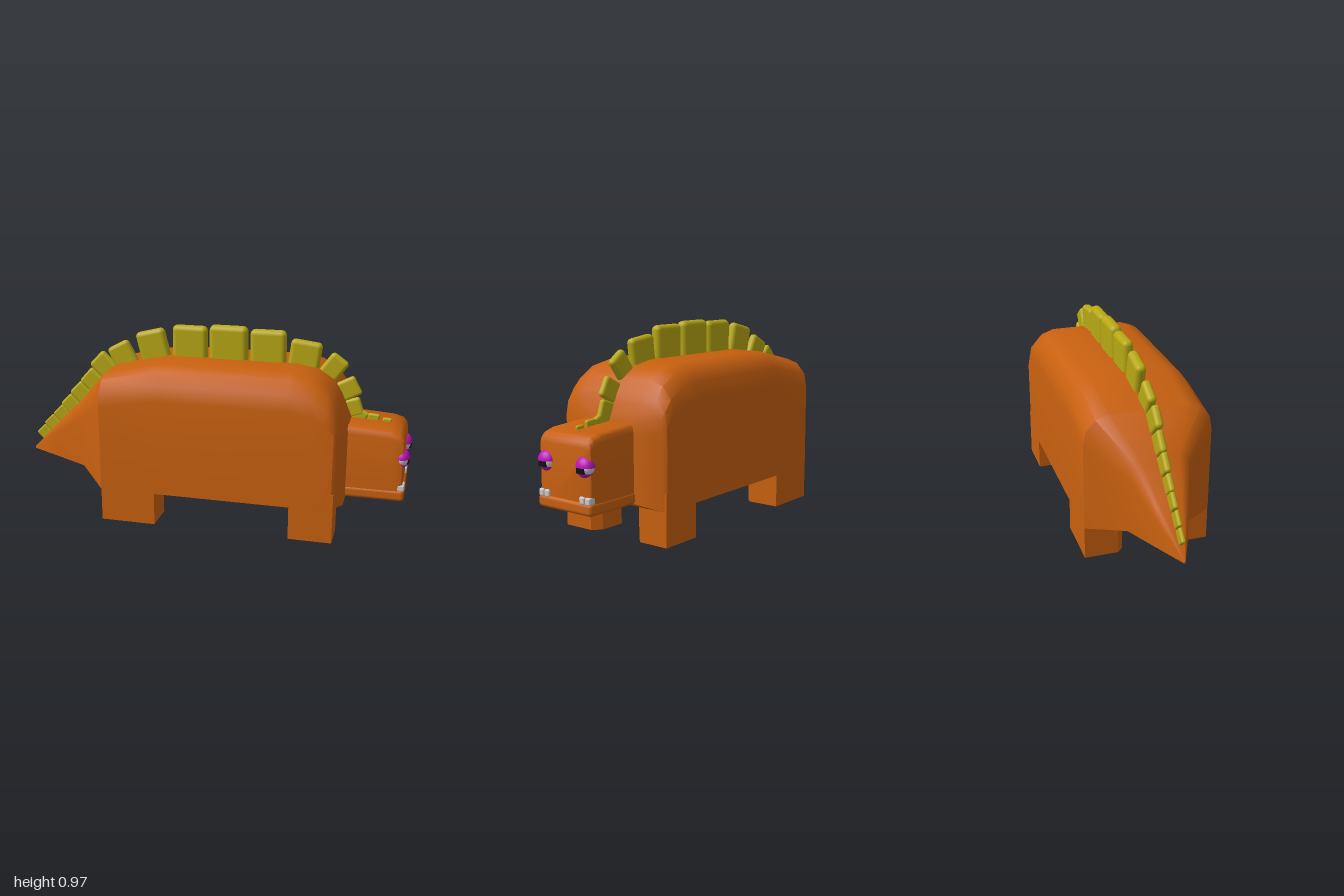
import * as THREE from 'three';
import { toCreasedNormals } from 'three/addons/utils/BufferGeometryUtils.js';
import { RoundedBoxGeometry } from 'three/addons/geometries/RoundedBoxGeometry.js';

const paint = (color) => new THREE.MeshStandardMaterial({ color });

// Skin through cross-sections [x, half width, bottom, top] with chamfered shoulders
function loft(sections, profile) {
  const n = profile.length, pos = [], index = [];
  for (const [x, w, b, t] of sections)
    for (const [z, y] of profile) pos.push(x, b + y * (t - b), z * w);
  for (let i = 0; i < sections.length - 1; i++)
    for (let j = 0; j < n; j++) {
      const k = (j + 1) % n, a = i * n + j, c = i * n + k;
      index.push(a, a + n, c, a + n, c + n, c);
    }
  const last = (sections.length - 1) * n;
  for (let j = 1; j < n - 1; j++) {
    index.push(0, j, j + 1);
    index.push(last, last + j + 1, last + j);
  }
  const g = new THREE.BufferGeometry();
  g.setAttribute('position', new THREE.Float32BufferAttribute(pos, 3));
  g.setIndex(index);
  return toCreasedNormals(g, 0.7);
}

const mirrored = (half) => [...half, ...half.map(([z, y]) => [-z, y]).reverse()];

export function createModel() {
  const model = new THREE.Group();
  const skin = paint(0xc8600f), yellow = paint(0xb8a814), magenta = paint(0xc010c0);
  const grey = paint(0xcccccc), black = paint(0x111111);
  const add = (name, geometry, material, x = 0, y = 0, z = 0, parent = model) => {
    const mesh = new THREE.Mesh(geometry, material);
    mesh.name = name;
    mesh.position.set(x, y, z);
    parent.add(mesh);
    return mesh;
  };

  // Body and tail, from the tail tip to the neck
  const bodyProfile = mirrored([[0.5, 0], [1, 0], [1, 0.75], [0.96, 0.87], [0.81, 0.965], [0.61, 1]]);
  add('body', loft([
    [-1, 0.003, 0.23, 0.24], [-0.83, 0.08, 0.225, 0.41], [-0.66, 0.15, 0.215, 0.575],
    [-0.505, 0.312, 0.165, 0.74], [-0.22, 0.312, 0.165, 0.803], [0.43, 0.312, 0.165, 0.803],
    [0.53, 0.312, 0.165, 0.785], [0.61, 0.312, 0.165, 0.735], [0.65, 0.31, 0.165, 0.67],
    [0.665, 0.295, 0.165, 0.635], [0.7, 0.17, 0.185, 0.55],
  ], bodyProfile), skin);

  // Legs: footprints with chamfered inner corners
  const legs = [
    ['frontLeg', 0.448, 0.66, 0.115, 0.04],
    ['hindLeg', -0.505, -0.228, 0.115, 0.03],
  ];
  for (const [name, x0, x1, inner, c] of legs)
    for (const s of [1, -1]) {
      const outline = [
        [x0, 0.311], [x0, inner + c], [x0 + c, inner], [x1 - c, inner], [x1, inner + c], [x1, 0.311],
      ].map(([x, z]) => new THREE.Vector2(x, -s * z));
      const g = new THREE.ExtrudeGeometry(new THREE.Shape(outline), { depth: 0.25, bevelEnabled: false });
      add(s > 0 ? name + 'Right' : name + 'Left', g.rotateX(-Math.PI / 2), skin);
    }

  // Head with a sloping brow, and the slightly longer lower jaw
  const headProfile = mirrored([[0.5, 0], [1, 0], [1, 0.88], [0.96, 0.96], [0.86, 1]]);
  add('head', loft([
    [0.64, 0.158, 0.22, 0.555], [0.7, 0.158, 0.235, 0.548], [0.9, 0.158, 0.237, 0.535],
    [0.945, 0.157, 0.237, 0.522], [0.963, 0.153, 0.238, 0.505], [0.97, 0.143, 0.24, 0.48],
  ], headProfile), skin);
  add('lowerJaw', new RoundedBoxGeometry(0.32, 0.058, 0.325, 3, 0.018), skin, 0.82, 0.214, 0);

  for (const s of [1, -1]) {
    const side = s > 0 ? 'Right' : 'Left';
    // Teeth in pairs at the mouth corners
    for (const z of [0.107, 0.141])
      add('tooth' + side, new RoundedBoxGeometry(0.05, 0.034, 0.031, 2, 0.008), grey, 0.955, 0.252, s * z);

    // Eye: grey ball, two lids and a square pupil
    const eye = new THREE.Group();
    eye.name = 'eye' + side;
    eye.position.set(0.958, 0.397, s * 0.116);
    eye.scale.x = 0.78;
    model.add(eye);
    add('eyeball', new THREE.SphereGeometry(0.044, 24, 16), grey, 0, 0, 0, eye);
    add('upperLid', new THREE.SphereGeometry(0.048, 24, 10, 0, Math.PI * 2, 0, 1.55), magenta, 0, 0, 0, eye)
      .material.side = THREE.DoubleSide;
    add('lowerLid', new THREE.SphereGeometry(0.048, 24, 10, 0, Math.PI * 2, 2.1, Math.PI - 2.1), magenta, 0, 0, 0, eye);
    add('pupil', new THREE.BoxGeometry(0.02, 0.024, 0.042), black, 0.036, -0.012, 0, eye);
  }

  // Back plates: base x, base y, width, height, thickness, tilt in degrees
  const plates = [
    [-0.925, 0.315, 0.07, 0.05, 0.02, 45], [-0.875, 0.37, 0.075, 0.055, 0.022, 45],
    [-0.815, 0.425, 0.08, 0.06, 0.024, 45], [-0.76, 0.48, 0.085, 0.068, 0.028, 45],
    [-0.695, 0.545, 0.095, 0.078, 0.032, 46], [-0.625, 0.615, 0.105, 0.085, 0.035, 48],
    [-0.555, 0.695, 0.11, 0.1, 0.04, 46], [-0.46, 0.748, 0.125, 0.105, 0.045, 28],
    [-0.3, 0.785, 0.155, 0.142, 0.052, 14], [-0.12, 0.8, 0.18, 0.158, 0.056, 0],
    [0.078, 0.8, 0.195, 0.168, 0.06, 0], [0.278, 0.8, 0.18, 0.158, 0.056, 0],
    [0.455, 0.79, 0.155, 0.125, 0.05, -7], [0.578, 0.755, 0.1, 0.105, 0.042, -36],
    [0.65, 0.672, 0.1, 0.085, 0.034, -62], [0.685, 0.588, 0.09, 0.065, 0.03, -72],
    [0.735, 0.548, 0.075, 0.04, 0.026, -25], [0.805, 0.54, 0.06, 0.03, 0.022, -4],
    [0.872, 0.535, 0.045, 0.018, 0.018, -4],
  ];
  const root = 0.03; // part of each plate sunk into the back
  for (const [x, y, w, h, d, tilt] of plates) {
    const g = new RoundedBoxGeometry(w, h + root, d, 3, d * 0.45);
    g.translate(0, (h - root) / 2, 0);
    add('backPlate', g, yellow, x, y, 0).rotation.z = THREE.MathUtils.degToRad(tilt);
  }
  return model;
}
